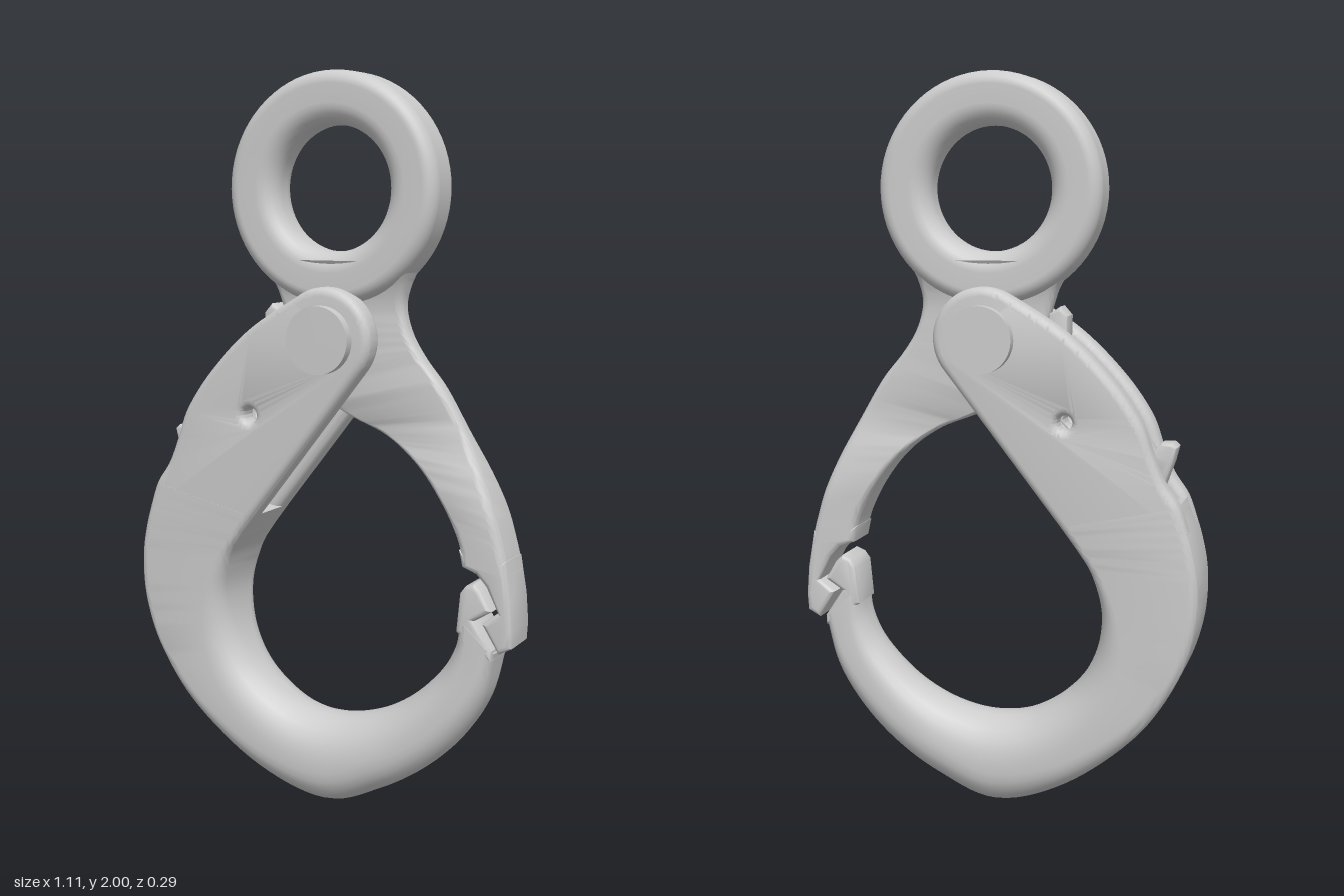
import * as THREE from 'three';
import { toCreasedNormals } from 'three/addons/utils/BufferGeometryUtils.js';

const PIVOT = [0.025, 1.305];

// Rounded cross-section, counter-clockwise, t from 0 (inner side) to span (outer side)
function section(span, h, ri, ro) {
  const s = Math.min(1, span / (ri + ro));
  const a = ri * s, b = ro * s;
  const az = Math.min(h, ri), bz = Math.min(h, ro);
  const corners = [
    [span - b, h - bz, b, bz], [a, h - az, a, az],
    [a, az - h, a, az], [span - b, bz - h, b, bz],
  ];
  const pts = [];
  corners.forEach(([ct, cz, rt, rz], q) => {
    for (let k = 0; k <= 6; k++) {
      const ang = (q + k / 6) * Math.PI / 2;
      pts.push(new THREE.Vector2(ct + rt * Math.cos(ang), cz + rz * Math.sin(ang)));
    }
  });
  return pts;
}

// Loft through stations [innerX, innerY, outerX, outerY, halfDepth, innerRound, outerRound]
function loft(stations, steps) {
  const spline = (f) => new THREE.CatmullRomCurve3(
    stations.map((s) => new THREE.Vector3(...f(s))), false, 'catmullrom', 0.5);
  const inner = spline((s) => [s[0], s[1], s[4]]);
  const outer = spline((s) => [s[2], s[3], 0]);
  const round = spline((s) => [s[5], s[6], 0]);
  const pos = [], idx = [];
  let n = 0;
  for (let i = 0; i <= steps; i++) {
    const u = i / steps;
    const p = inner.getPoint(u), o = outer.getPoint(u), r = round.getPoint(u);
    const dx = o.x - p.x, dy = o.y - p.y, span = Math.hypot(dx, dy);
    const ring = section(span, p.z, r.x, r.y);
    n = ring.length;
    ring.forEach((v) => pos.push(p.x + dx * v.x / span, p.y + dy * v.x / span, v.y));
  }
  for (let i = 0; i < steps; i++) {
    for (let j = 0; j < n; j++) {
      const a = i * n + j, b = i * n + (j + 1) % n;
      idx.push(a, b, a + n, b, b + n, a + n);
    }
  }
  const e = steps * n;
  for (let j = 1; j < n - 1; j++) idx.push(0, j + 1, j, e, e + j, e + j + 1);
  const geo = new THREE.BufferGeometry();
  geo.setAttribute('position', new THREE.Float32BufferAttribute(pos, 3));
  geo.setIndex(idx);
  return toCreasedNormals(geo, 0.7);
}

// Plate with rounded edges between two depths
function slab(shape, z0, z1, bevel) {
  const geo = new THREE.ExtrudeGeometry(shape, {
    depth: z1 - z0 - 2 * bevel, bevelThickness: bevel, bevelSize: bevel,
    bevelOffset: -bevel, bevelSegments: 4, curveSegments: 24,
  });
  geo.translate(0, 0, z0 + bevel);
  return toCreasedNormals(geo, 0.6);
}

const polygon = (pts) => new THREE.Shape(pts.map(([x, y]) => new THREE.Vector2(x, y)));

function addRivetHole(shape) {
  shape.holes.push(new THREE.Path().absarc(-0.2, 1.09, 0.02, 0, Math.PI * 2, true));
  return shape;
}

export function createModel() {
  const group = new THREE.Group();
  const material = new THREE.MeshStandardMaterial({ color: 0xcccccc });
  const add = (name, geo) => {
    const mesh = new THREE.Mesh(geo, material);
    mesh.name = name;
    group.add(mesh);
    return mesh;
  };

  // Top eye
  const profile = section(0.14, 0.07, 0.055, 0.035).map((p) => p.add(new THREE.Vector2(0.165, 0)));
  profile.push(profile[0].clone());
  const eye = new THREE.LatheGeometry(profile, 72);
  eye.rotateX(Math.PI / 2);
  add('eye', eye).position.set(0.02, 1.697, 0);

  // Arm: thick at the eye, thin through the pivot, thick again at the latch
  add('latchArm', loft([
    [-0.205, 1.51, 0.245, 1.51, 0.068, 0.02, 0.02],
    [-0.165, 1.45, 0.225, 1.45, 0.04, 0.02, 0.02],
    [-0.145, 1.39, 0.217, 1.39, 0.028, 0.02, 0.02],
    [-0.12, 1.30, 0.235, 1.32, 0.028, 0.02, 0.02],
    [-0.06, 1.17, 0.275, 1.255, 0.028, 0.02, 0.02],
    [0.05, 1.10, 0.335, 1.18, 0.028, 0.02, 0.02],
    [0.17, 1.05, 0.40, 1.07, 0.03, 0.02, 0.02],
    [0.27, 0.98, 0.455, 0.965, 0.053, 0.025, 0.025],
    [0.345, 0.89, 0.495, 0.87, 0.068, 0.025, 0.025],
    [0.392, 0.80, 0.522, 0.78, 0.07, 0.025, 0.025],
    [0.41, 0.735, 0.537, 0.71, 0.07, 0.02, 0.02],
  ], 60));
  add('latchTip', slab(polygon([
    [0.40, 0.77], [0.41, 0.725], [0.45, 0.71], [0.478, 0.68], [0.512, 0.612], [0.467, 0.58],
    [0.515, 0.503], [0.55, 0.522], [0.553, 0.57], [0.547, 0.65], [0.53, 0.75],
  ]), -0.068, 0.068, 0.015));

  // Curved hook, listed from tip to shank
  add('hook', loft([
    [0.403, 0.59, 0.499, 0.50, 0.07, 0.03, 0.03],
    [0.385, 0.51, 0.467, 0.365, 0.073, 0.06, 0.05],
    [0.34, 0.43, 0.40, 0.25, 0.08, 0.08, 0.07],
    [0.25, 0.34, 0.30, 0.15, 0.09, 0.09, 0.08],
    [0.14, 0.28, 0.17, 0.067, 0.10, 0.11, 0.09],
    [0.02, 0.255, 0.0, 0.005, 0.106, 0.12, 0.10],
    [-0.10, 0.275, -0.20, 0.08, 0.112, 0.11, 0.07],
    [-0.21, 0.35, -0.39, 0.232, 0.115, 0.10, 0.045],
    [-0.275, 0.45, -0.50, 0.39, 0.115, 0.08, 0.03],
    [-0.30, 0.57, -0.55, 0.53, 0.115, 0.05, 0.025],
    [-0.277, 0.68, -0.56, 0.66, 0.115, 0.03, 0.025],
    [-0.235, 0.75, -0.542, 0.77, 0.115, 0.025, 0.025],
    [-0.19, 0.81, -0.505, 0.88, 0.115, 0.025, 0.025],
  ], 84));
  add('hookTip', slab(polygon([
    [0.395, 0.55], [0.405, 0.655], [0.42, 0.675], [0.445, 0.686], [0.465, 0.667],
    [0.495, 0.615], [0.447, 0.585], [0.497, 0.51], [0.495, 0.48],
  ]), -0.068, 0.068, 0.015));

  // Two shank cheeks with a slot between them
  const cheek = new THREE.Shape();
  cheek.moveTo(-0.52, 0.80);
  cheek.lineTo(-0.247, 0.735);
  cheek.lineTo(-0.19, 0.81);
  cheek.absarc(PIVOT[0], PIVOT[1], 0.137, -0.66, 2.18, false);
  cheek.splineThru([[-0.2, 1.325], [-0.32, 1.21], [-0.40, 1.10], [-0.435, 1.01],
    [-0.465, 0.94], [-0.505, 0.88], [-0.53, 0.81]].map(([x, y]) => new THREE.Vector2(x, y)));
  addRivetHole(cheek);
  add('frontCheek', slab(cheek, 0.039, 0.114, 0.022));
  add('backCheek', slab(cheek, -0.114, -0.039, 0.022));

  // Release trigger inside the slot
  add('trigger', slab(addRivetHole(polygon([
    [-0.488, 1.025], [-0.478, 0.985], [-0.455, 0.92], [-0.40, 0.93], [-0.22, 1.03],
    [-0.15, 1.10], [-0.13, 1.28], [-0.14, 1.37], [-0.17, 1.39], [-0.192, 1.365],
    [-0.19, 1.29], [-0.30, 1.18], [-0.38, 1.08], [-0.425, 1.015], [-0.445, 1.035], [-0.475, 1.037],
  ])), -0.035, 0.035, 0.01));

  // Pivot pin through both cheeks
  const pin = new THREE.CylinderGeometry(0.09, 0.09, 0.286, 48);
  pin.rotateX(Math.PI / 2);
  add('pivotPin', pin).position.set(PIVOT[0], PIVOT[1], 0);

  return group;
}
